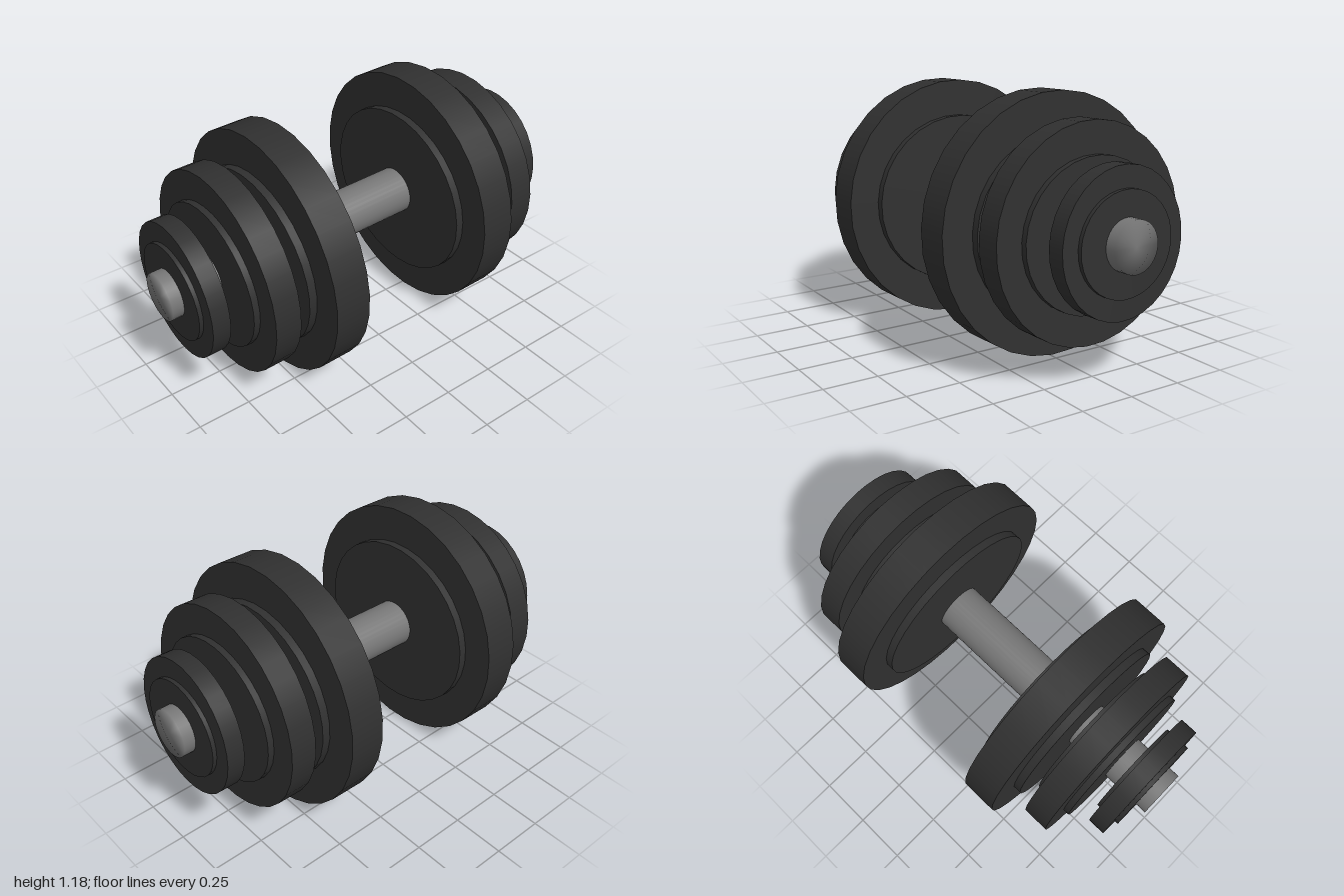
import * as THREE from 'three';

const SIDES = 32;
const plateMaterial = new THREE.MeshStandardMaterial({ color: 0x303030 });
const barMaterial = new THREE.MeshStandardMaterial({ color: 0x777777 });

// Disc with its axis along x; the vertical and depth radii may differ slightly
function disc(name, width, radiusY, radiusZ) {
  const geometry = new THREE.CylinderGeometry(1, 1, width, SIDES);
  geometry.rotateY(0.06).rotateZ(Math.PI / 2).scale(1, radiusY, radiusZ);
  const mesh = new THREE.Mesh(geometry, plateMaterial);
  mesh.name = name;
  return mesh;
}

// Weight plate: a wide raised hub and a narrower, larger rim
function weightPlate(name, x, rim, hub) {
  const plate = new THREE.Group();
  plate.name = name;
  plate.add(disc('rim', ...rim), disc('hub', ...hub));
  plate.position.x = x;
  return plate;
}

// Sizes are [width, vertical radius, depth radius]
const PLATES = [
  { name: 'LargePlate', x: 0.413, rim: [0.168, 0.578, 0.578], hub: [0.243, 0.408, 0.436] },
  { name: 'MediumPlate', x: 0.667, rim: [0.123, 0.475, 0.475], hub: [0.182, 0.334, 0.356] },
  { name: 'SmallPlate', x: 0.883, rim: [0.084, 0.318, 0.308], hub: [0.122, 0.223, 0.233] },
];

export function createModel() {
  const model = new THREE.Group();
  model.name = 'dumbbell';

  // Bar with softly shaded flat ends
  const r = 0.111, half = 0.997;
  const profile = [[0, -half], [r, -half], [r, half], [0, half]]
    .map(([x, y]) => new THREE.Vector2(x, y));
  const bar = new THREE.Mesh(
    new THREE.LatheGeometry(profile, SIDES).rotateZ(Math.PI / 2), barMaterial);
  bar.name = 'bar';
  model.add(bar);

  // Three plates on each end
  for (const [side, sign] of [['left', 1], ['right', -1]]) {
    for (const { name, x, rim, hub } of PLATES) {
      model.add(weightPlate(side + name, sign * x, rim, hub));
    }
  }

  // The whole dumbbell leans slightly
  model.rotation.set(0, 0.004, 0.0265);
  model.position.y = 0.592;
  const root = new THREE.Group();
  root.add(model);
  return root;
}
